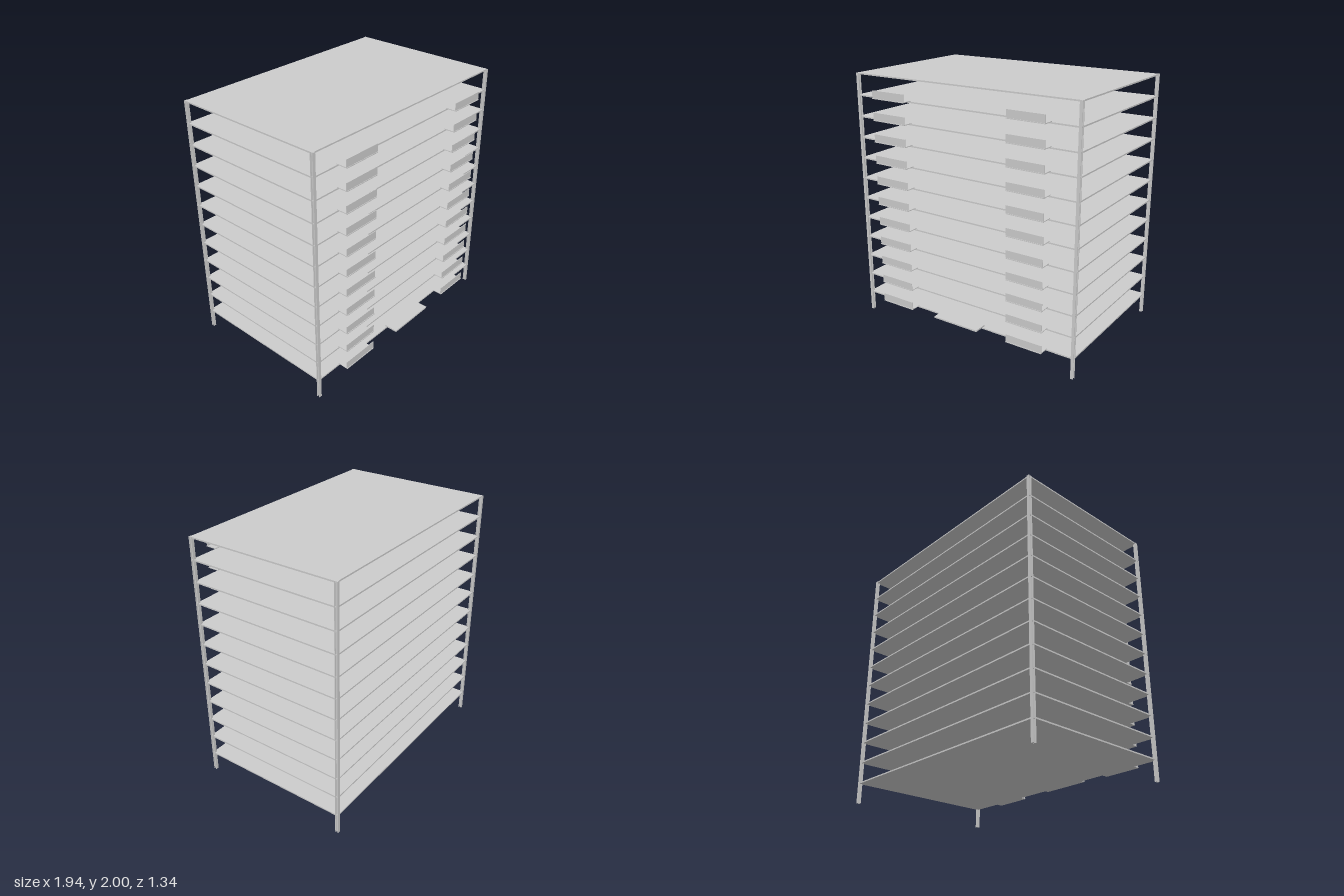
import * as THREE from 'three';

const material = new THREE.MeshStandardMaterial({ color: 0xcccccc, flatShading: true });

export function createModel() {
  const model = new THREE.Group();
  model.name = 'multiStoreyFrame';

  // Box given by its lower and upper limits on each axis
  const addBox = (name, [x0, x1], [y0, y1], [z0, z1]) => {
    const mesh = new THREE.Mesh(new THREE.BoxGeometry(x1 - x0, y1 - y0, z1 - z0), material);
    mesh.position.set((x0 + x1) / 2, (y0 + y1) / 2, (z0 + z1) / 2);
    mesh.name = name;
    model.add(mesh);
  };

  const floors = 12;
  const storey = 2 / floors;
  const front = 0.561;
  const back = -0.662;

  // Floor slabs, the last one being the roof
  for (let i = 1; i <= floors; i++) {
    const top = i * storey;
    addBox(i === floors ? 'roofSlab' : 'floorSlab', [-0.966, 0.966], [top - 0.011, top], [back, front]);
  }

  // H-section corner columns: flanges face front and back
  const w = 0.0115, d = 0.0125, flange = 0.005, web = 0.0025;
  const section = new THREE.Shape([
    [-w, -d], [w, -d], [w, -d + flange], [web, -d + flange], [web, d - flange], [w, d - flange],
    [w, d], [-w, d], [-w, d - flange], [-web, d - flange], [-web, -d + flange], [-w, -d + flange],
  ].map(([x, y]) => new THREE.Vector2(x, y)));
  const columnGeometry = new THREE.ExtrudeGeometry(section, { depth: 2, bevelEnabled: false });
  columnGeometry.rotateX(-Math.PI / 2);
  for (const x of [-0.9585, 0.9585]) {
    for (const z of [0.5555, -0.6555]) {
      const column = new THREE.Mesh(columnGeometry, material);
      column.name = 'cornerColumn';
      column.position.set(x, 0, z);
      model.add(column);
    }
  }

  // Two balconies per floor: thin plate with an upright front panel
  for (let i = 1; i < floors; i++) {
    const y = i * storey;
    for (const side of [-1, 1]) {
      const span = [side * 0.595 - 0.151, side * 0.595 + 0.151];
      addBox('balconyPlate', span, [y + 0.001, y + 0.007], [front - 0.005, 0.643]);
      addBox('balconyPanel', span, [y + 0.004, y + 0.064], [0.634, 0.639]);
    }
  }

  // Entrance canopy
  addBox('entranceCanopy', [-0.2, 0.2], [0.184, 0.196], [front, 0.667]);

  return model;
}
